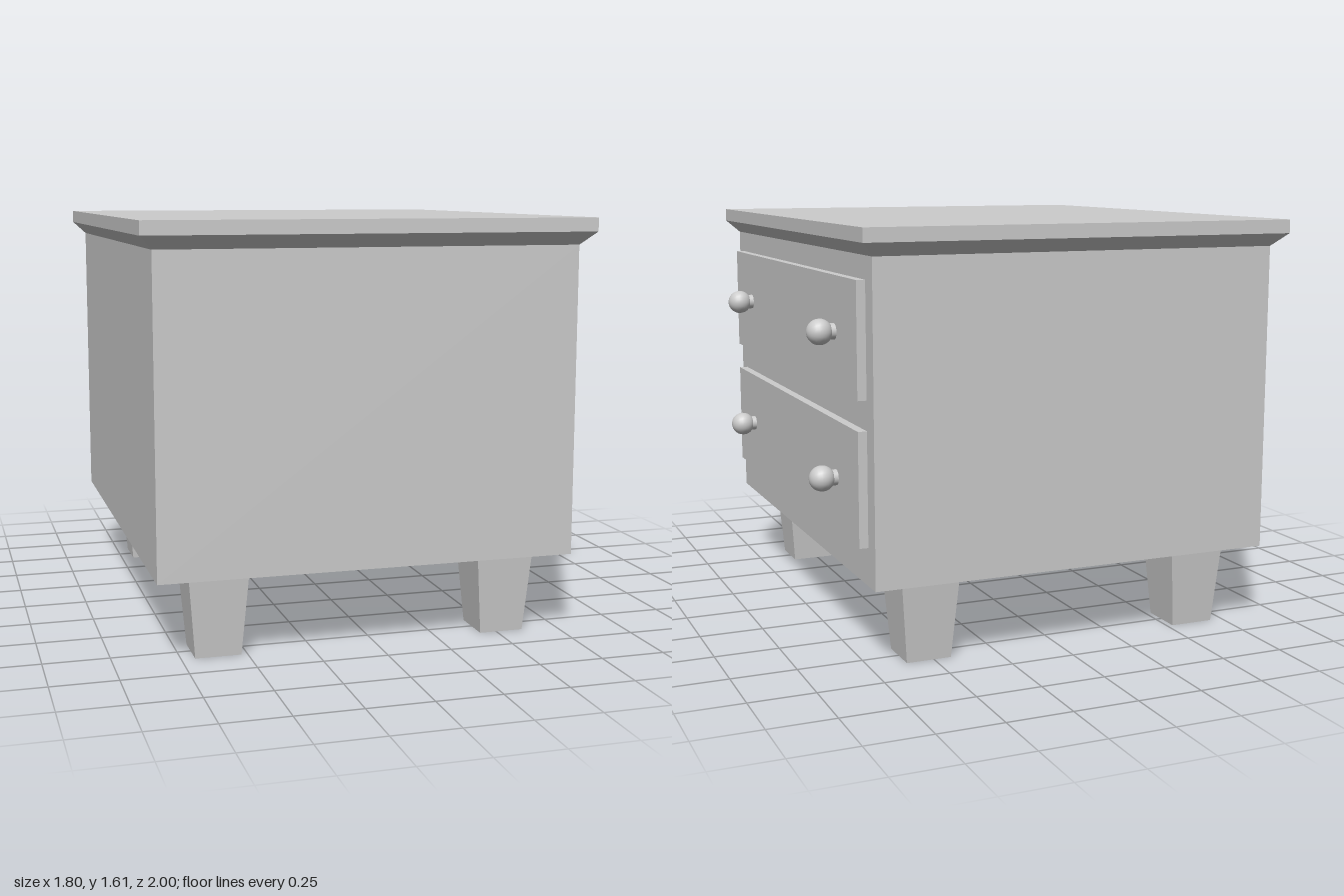
import * as THREE from 'three';

const material = new THREE.MeshStandardMaterial({ color: 0xcccccc });

function add(parent, name, geometry, x, y, z) {
  const mesh = new THREE.Mesh(geometry, material);
  mesh.name = name;
  mesh.position.set(x, y, z);
  parent.add(mesh);
  return mesh;
}

// Box whose bottom face has its own width and depth
function taperedBox(topW, topD, bottomW, bottomD, height) {
  const geometry = new THREE.BoxGeometry(topW, height, topD);
  const p = geometry.attributes.position;
  for (let i = 0; i < p.count; i++) {
    if (p.getY(i) < 0) {
      p.setX(i, p.getX(i) * bottomW / topW);
      p.setZ(i, p.getZ(i) * bottomD / topD);
    }
  }
  geometry.computeVertexNormals();
  return geometry;
}

export function createModel() {
  const model = new THREE.Group();
  model.name = 'nightstand';
  const cx = -0.046; // cabinet centre; the knobs reach out on +x

  // Cabinet, bevelled moulding and top slab
  add(model, 'cabinetBody', new THREE.BoxGeometry(1.614, 1.19, 1.892), cx, 0.915, 0);
  add(model, 'topMoulding', taperedBox(1.714, 2, 1.614, 1.892, 0.05), cx, 1.535, 0);
  add(model, 'topSlab', new THREE.BoxGeometry(1.714, 0.052, 2), cx, 1.586, 0);

  // Tapered legs
  const legGeometry = taperedBox(0.228, 0.228, 0.175, 0.175, 0.32);
  for (const x of [-0.611, 0.52]) {
    for (const z of [-0.755, 0.755]) add(model, 'leg', legGeometry, x, 0.16, z);
  }

  // Drawers, each with two round knobs on short stems
  const panelGeometry = new THREE.BoxGeometry(0.045, 0.426, 1.74);
  const stemGeometry = new THREE.CylinderGeometry(0.03, 0.03, 0.06, 20).rotateZ(Math.PI / 2);
  const knobGeometry = new THREE.SphereGeometry(0.049, 20, 14).rotateZ(Math.PI / 2);
  for (const [name, y, knobY] of [['lowerDrawer', 0.676, 0.672], ['upperDrawer', 1.212, 1.218]]) {
    const drawer = new THREE.Group();
    drawer.name = name;
    add(drawer, 'drawerFront', panelGeometry, 0.7725, y, 0);
    for (const z of [-0.607, 0.607]) {
      add(drawer, 'knobStem', stemGeometry, 0.81, knobY, z);
      add(drawer, 'knob', knobGeometry, 0.851, knobY, z);
    }
    model.add(drawer);
  }
  return model;
}
